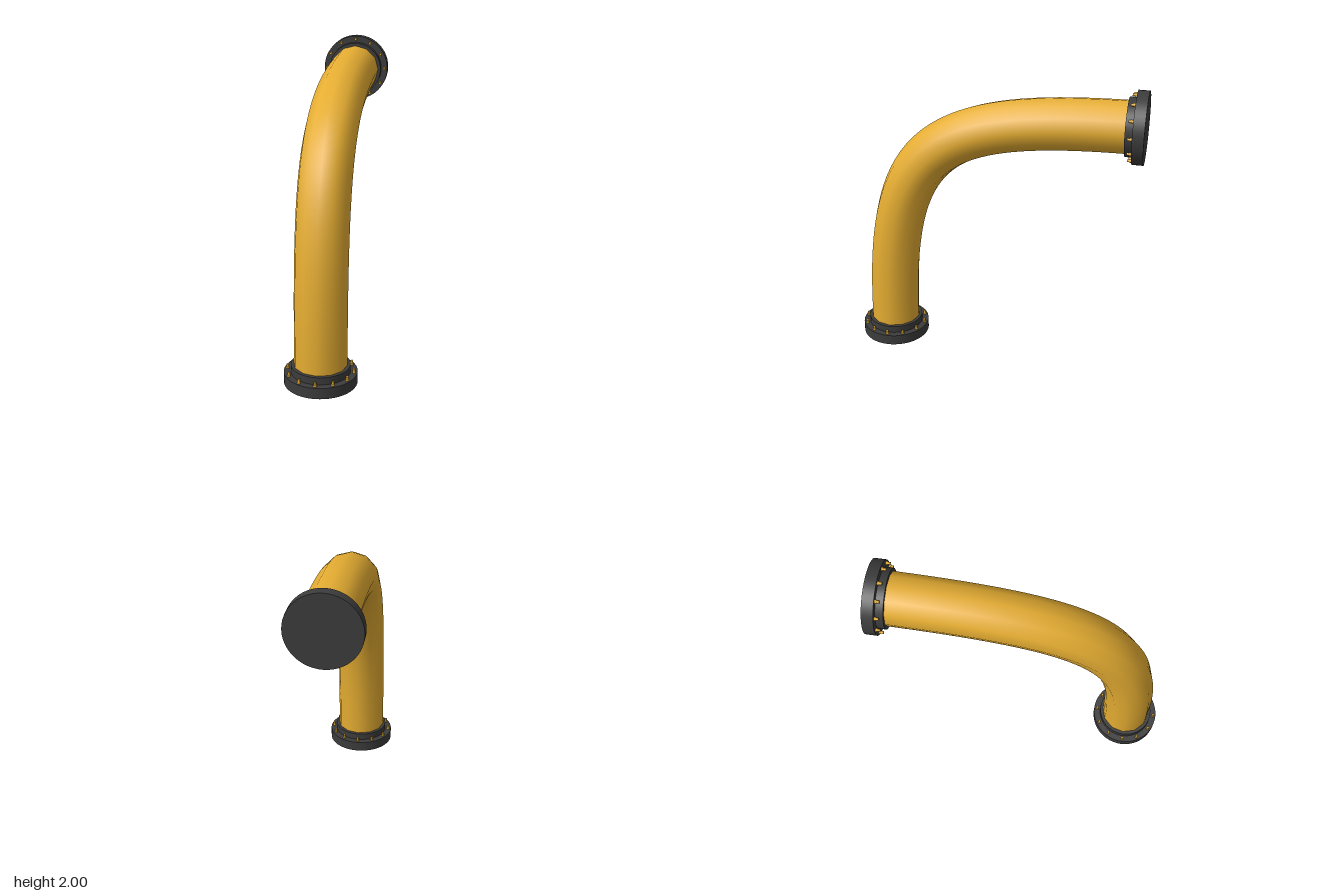
import * as THREE from 'three';

const yellow = new THREE.MeshStandardMaterial({ color: 0xe5ad32 });
const dark = new THREE.MeshStandardMaterial({ color: 0x3c3c3c });

const BASE_Z = 0.757, TOP_Y = 1.76, PIPE_R = 0.175;

function disc(name, radius, y0, y1, material, sides, parent) {
  const mesh = new THREE.Mesh(new THREE.CylinderGeometry(radius, radius, y1 - y0, sides), material);
  mesh.position.y = (y0 + y1) / 2;
  mesh.name = name;
  parent.add(mesh);
}

// Flange standing on its own y = 0, with a raised collar and a ring of bolts
function createFlange(name) {
  const flange = new THREE.Group();
  flange.name = name;
  disc('flangePlate', 0.24, 0, 0.075, dark, 48, flange);
  disc('flangeCollar', 0.194, 0.075, 0.125, dark, 48, flange);
  for (let i = 0; i < 12; i++) {
    const a = (i / 12) * Math.PI * 2;
    const bolt = new THREE.Group();
    bolt.name = 'bolt';
    disc('boltHead', 0.012, 0.075, 0.088, yellow, 6, bolt);
    disc('boltStud', 0.009, 0.088, 0.105, yellow, 8, bolt);
    bolt.position.set(Math.sin(a) * 0.218, 0, Math.cos(a) * 0.218);
    flange.add(bolt);
  }
  return flange;
}

export function createModel() {
  const model = new THREE.Group();
  model.name = 'pipeElbow';

  // Pipe bending from vertical to horizontal, with long straight-ish ends
  const k = 0.85, inset = 0.01;
  const bend = new THREE.CubicBezierCurve3(
    new THREE.Vector3(0, inset, BASE_Z),
    new THREE.Vector3(0, TOP_Y * k, BASE_Z),
    new THREE.Vector3(0, TOP_Y, -1 + (BASE_Z + 1) * k),
    new THREE.Vector3(0, TOP_Y, -1 + inset)
  );
  const pipe = new THREE.Mesh(new THREE.TubeGeometry(bend, 48, PIPE_R, 12), yellow);
  pipe.name = 'pipe';
  model.add(pipe);

  // Flange at each end
  const lower = createFlange('lowerFlange');
  lower.position.set(0, 0, BASE_Z);
  const upper = createFlange('upperFlange');
  upper.position.set(0, TOP_Y, -1);
  upper.rotation.x = Math.PI / 2;
  model.add(lower, upper);

  return model;
}
